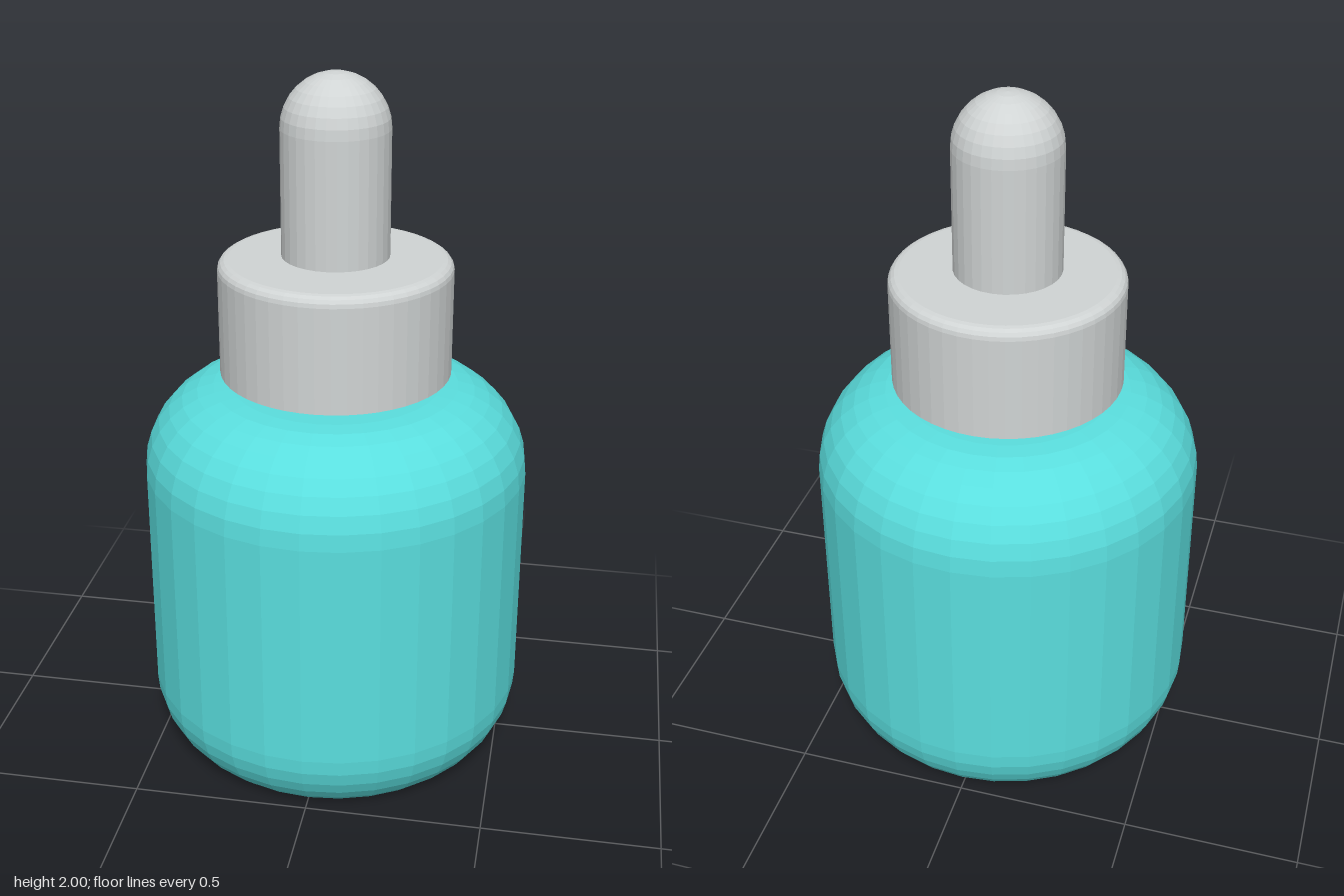
import * as THREE from 'three';

// Points along a circular arc in the profile plane (angles in degrees)
function arc(cx, cy, r, from, to, steps) {
  return Array.from({ length: steps + 1 }, (_, i) => {
    const a = THREE.MathUtils.degToRad(from + ((to - from) * i) / steps);
    return new THREE.Vector2(Math.max(0, cx + r * Math.cos(a)), cy + r * Math.sin(a));
  });
}

// Closed solid of revolution; profile runs from the bottom axis to the top axis
function turned(name, points, material, segments = 32) {
  const mesh = new THREE.Mesh(new THREE.LatheGeometry(points, segments), material);
  mesh.name = name;
  return mesh;
}

export function createModel() {
  const teal = new THREE.MeshStandardMaterial({ color: 0x5adede });
  teal.name = 'teal glass';
  teal.flatShading = true;
  const grey = new THREE.MeshStandardMaterial({ color: 0xd0d4d4 });
  grey.name = 'light grey plastic';
  grey.flatShading = true;

  const model = new THREE.Group();
  model.name = 'dropperBottle';
  const axis = (y) => new THREE.Vector2(0, y);

  // Bottle: flat base, rounded lower edge and broad round shoulder
  model.add(turned('bottle', [
    axis(0),
    ...arc(0.3, 0.2, 0.25, -52, 0, 5),
    ...arc(0.3, 0.87, 0.25, 0, 90, 8),
    axis(1.12),
  ], teal));

  // Cap: floats just above the bottle, softened top edge
  model.add(turned('cap', [
    axis(1.16),
    new THREE.Vector2(0.327, 1.16),
    ...arc(0.297, 1.46, 0.03, 0, 90, 4),
    axis(1.49),
  ], grey, 48));

  // Dropper bulb: straight tube with a domed tip
  model.add(turned('dropperBulb', [
    axis(1.497),
    new THREE.Vector2(0.15, 1.497),
    ...arc(0, 1.85, 0.15, 0, 90, 8),
  ], grey));

  return model;
}
